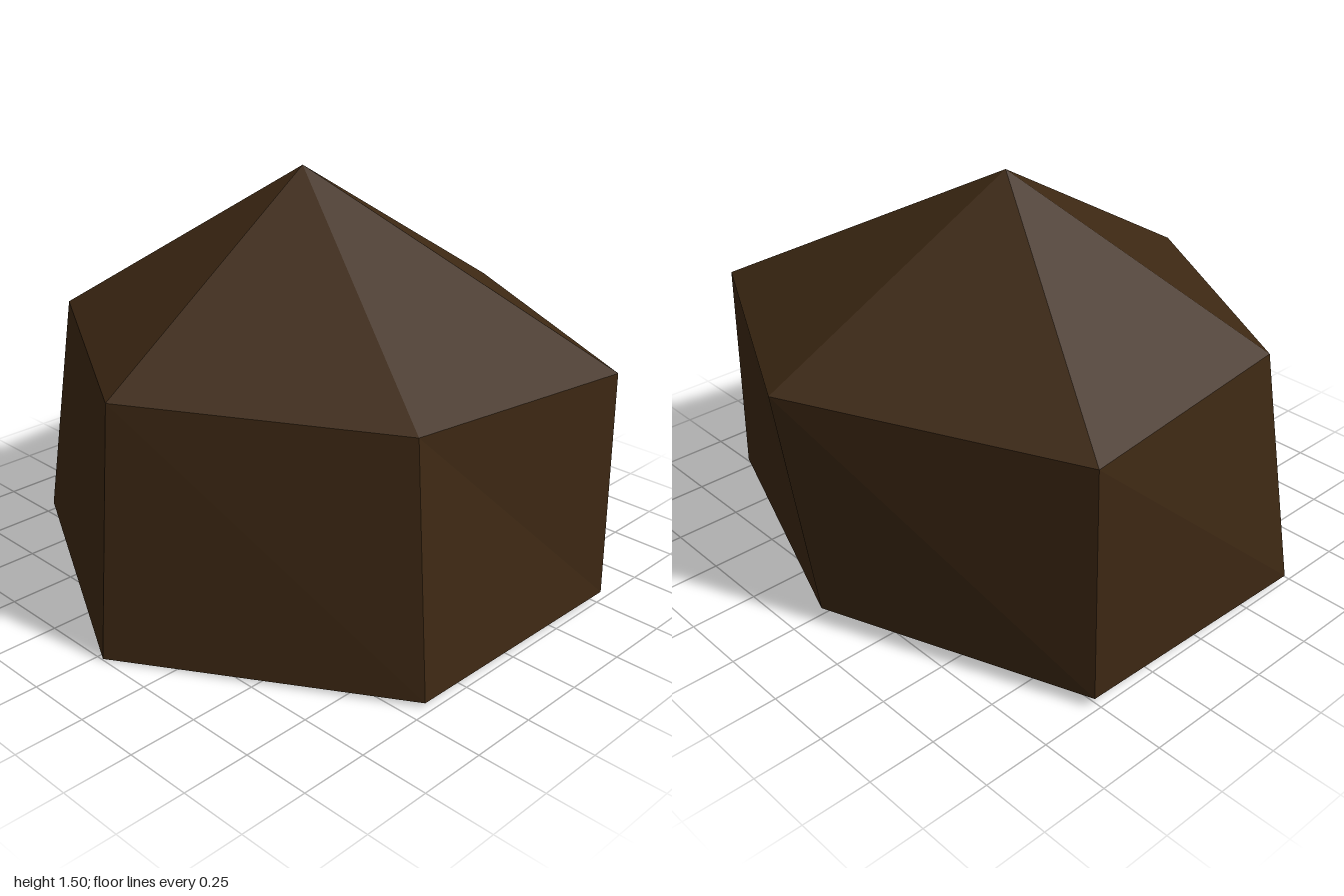
import * as THREE from 'three';

// Irregular six-sided boulder: two rings of corners, a peak and a base centre.
// Rings run left, front left, front right, right, back right, back left as seen from the front.
const upperRing = [
  [-0.92, 0.92, 0.02], [-0.38, 0.90, 0.87], [0.52, 0.89, 0.99],
  [1.0, 0.92, 0.03], [0.54, 0.92, -0.99], [-0.41, 0.92, -0.88],
];
const lowerRing = [
  [-1.0, 0.005, 0.03], [-0.43, 0.015, 0.975], [0.52, 0.035, 1.0],
  [0.86, 0.0, 0.03], [0.52, 0.04, -0.99], [-0.47, 0.03, -1.0],
];
const peak = [0.095, 1.5, -0.11];
const baseCentre = [0, 0.02, 0];

function facets(triangles) {
  const geometry = new THREE.BufferGeometry();
  geometry.setAttribute('position', new THREE.Float32BufferAttribute(triangles.flat(2), 3));
  geometry.computeVertexNormals();
  return geometry;
}

export function createModel() {
  const group = new THREE.Group();
  group.name = 'rock';
  const brown = new THREE.MeshStandardMaterial({ color: 0x3d2813, flatShading: true });
  brown.name = 'dark brown stone';

  const cap = [], walls = [], base = [];
  for (let i = 0; i < 6; i++) {
    const j = (i + 1) % 6;
    const [a, b, c, d] = [lowerRing[i], lowerRing[j], upperRing[i], upperRing[j]];
    cap.push([c, d, peak]);
    walls.push([a, b, c], [c, b, d]);
    base.push([b, a, baseCentre]);
  }

  for (const [name, triangles] of Object.entries({ cap, walls, base })) {
    const mesh = new THREE.Mesh(facets(triangles), brown);
    mesh.name = name;
    group.add(mesh);
  }
  return group;
}
